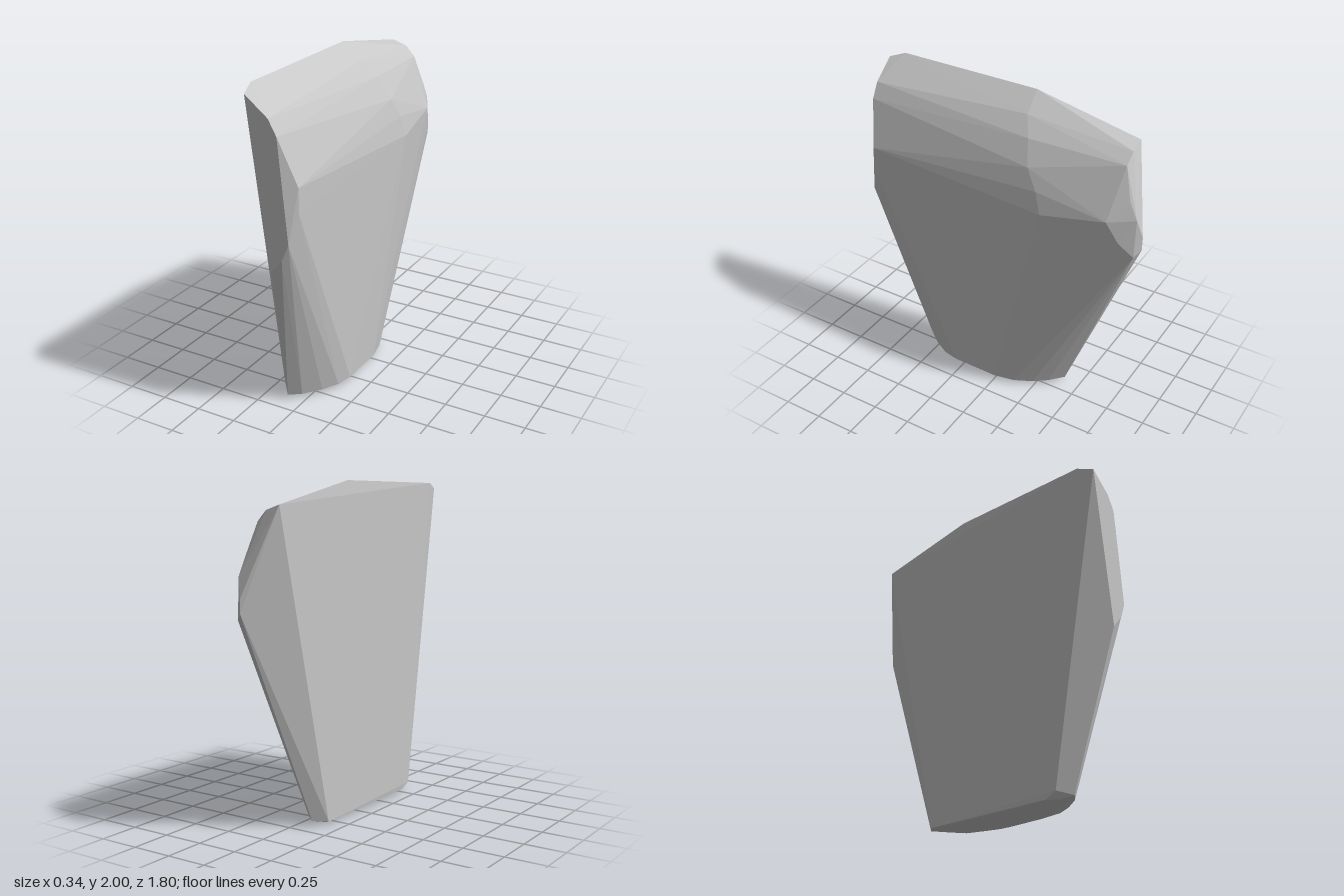
import * as THREE from 'three';
import { ConvexGeometry } from 'three/addons/geometries/ConvexGeometry.js';

// Cross-sections of the faceted block, each a short row of [x, y, z] corners
const flatSide = [
  [-0.175, 1.985, 0.8], [-0.165, 0.05, 0.575], [-0.16, 0.015, 0.5], [-0.16, 0.02, -0.33], [-0.15, 1.87, -0.77],
];
const frontFace = [
  [-0.15, 1.95, 0.9], [-0.01, 1.84, 0.9], [0.04, 1.75, 0.9],
  [0.135, 1.47, 0.85], [0.135, 1.32, 0.85], [0.095, 1.15, 0.9], [0.05, 1.05, 0.9], [-0.02, 0.97, 0.9],
];
const shoulder = [
  [-0.15, 2, -0.12], [-0.03, 1.9, -0.13], [0.05, 1.8, -0.18],
  [0.12, 1.66, -0.22], [0.15, 1.54, -0.29], [0.17, 1.41, -0.33],
];
const backEdge = [
  [-0.06, 1.84, -0.77], [0, 1.78, -0.765], [0.045, 1.59, -0.82], [0.05, 1.49, -0.87],
  [0.02, 1.37, -0.9], [0.02, 1.29, -0.9], [0.06, 1.25, -0.87], [0.1, 1.34, -0.79], [0.125, 1.47, -0.72],
];
const baseRim = [
  [-0.1, 0.025, 0.65], [-0.03, 0.025, 0.6], [0.05, 0.025, 0.5], [0.105, 0.025, 0.4], [0.13, 0.03, 0.3],
  [0.13, 0.025, 0], [0.105, 0.025, -0.13], [0.05, 0.025, -0.24], [-0.01, 0.025, -0.32], [-0.09, 0.03, -0.4],
];
const underside = [
  [-0.13, 0.01, 0.57], [0, 0, 0.45], [0.06, 0, 0.3], [0.06, 0, 0], [0, 0, -0.2], [-0.13, 0.01, -0.32],
];

export function createModel() {
  const paleGrey = new THREE.MeshStandardMaterial({ color: 0xc7c7c7 });
  paleGrey.name = 'paleGrey';

  const corners = [flatSide, frontFace, shoulder, backEdge, baseRim, underside]
    .flat()
    .map((p) => new THREE.Vector3(...p));
  const block = new THREE.Mesh(new ConvexGeometry(corners), paleGrey);
  block.name = 'facetedBlock';

  const model = new THREE.Group();
  model.name = 'facetedSlab';
  model.add(block);
  return model;
}
